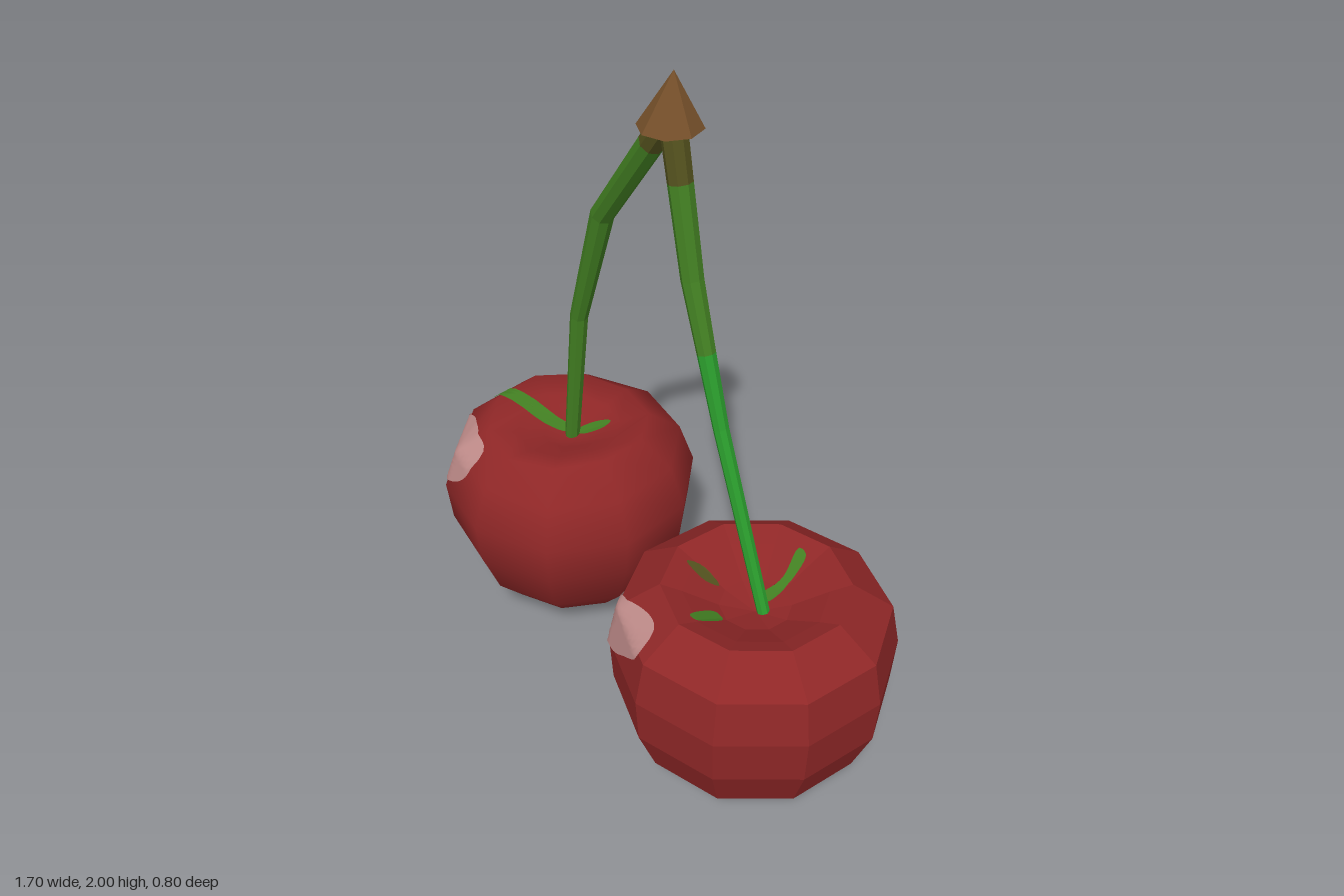
import * as THREE from 'three';
import { mergeVertices } from 'three/addons/utils/BufferGeometryUtils.js';

const mat = (name, color, side = THREE.FrontSide) => {
  const m = new THREE.MeshStandardMaterial({ color, side });
  m.name = name;
  return m;
};

// Split faces so that each facet is flat
function faceted(geometry) {
  const g = geometry.toNonIndexed();
  g.computeVertexNormals();
  return g;
}

export function createModel() {
  const red = mat('cherry red', 0x8f2727);
  const pink = mat('highlight pink', 0xc08c8a, THREE.DoubleSide);
  const olive = mat('stem green', 0x427f22, THREE.DoubleSide);
  const bright = mat('fresh green', 0x2a9a2c, THREE.DoubleSide);
  const bark = mat('stem olive brown', 0x54521e, THREE.DoubleSide);
  const brown = mat('cap brown', 0x76502a);

  const model = new THREE.Group();
  model.name = 'cherryPair';
  const add = (name, geometry, material) => {
    const mesh = new THREE.Mesh(geometry, material);
    mesh.name = name;
    model.add(mesh);
    return mesh;
  };

  // Ten-sided fruit with a dimpled top; saddle lowers the rim front and back
  function fruit(profile, turn, saddle, x) {
    let g = new THREE.LatheGeometry(profile.map(p => new THREE.Vector2(...p)), 10, turn);
    const pos = g.attributes.position;
    for (let i = 0; i < pos.count; i++) {
      const r = Math.hypot(pos.getX(i), pos.getZ(i));
      if (pos.getY(i) > 0.63 && r > 0.05) {
        pos.setY(i, pos.getY(i) - saddle * (pos.getZ(i) / r) ** 2);
      }
    }
    g.deleteAttribute('normal');
    g.deleteAttribute('uv');
    g = mergeVertices(g);
    g.computeVertexNormals();
    return g.translate(x, 0, 0);
  }

  const smoothCherry = add('smoothCherry', fruit([
    [0, 0.005], [0.13, 0.025], [0.23, 0.09], [0.32, 0.19], [0.38, 0.34], [0.395, 0.47],
    [0.35, 0.6], [0.25, 0.685], [0.16, 0.665], [0.08, 0.625], [0, 0.605],
  ], 0.18, 0.025, -0.457), red);

  const facetedCherry = add('facetedCherry', faceted(fruit([
    [0, 0.005], [0.135, 0.025], [0.25, 0.095], [0.335, 0.19], [0.39, 0.33], [0.4, 0.47],
    [0.375, 0.6], [0.26, 0.68], [0.2, 0.655], [0.1, 0.605], [0, 0.58],
  ], 0, 0, 0.467)), red);

  // Thin painted patch: an outline projected onto a fruit, from the front or from above
  const ray = new THREE.Raycaster();
  function patch(name, target, outline, fromAbove, material) {
    const curve = new THREE.CatmullRomCurve3(
      outline.map(([a, b]) => new THREE.Vector3(a, b, 0)), true);
    const n = 40, rings = 8, verts = [], index = [];
    const rim = curve.getSpacedPoints(n).slice(0, n);
    const mid = rim.reduce((s, p) => s.add(p), new THREE.Vector3()).divideScalar(n);
    const dir = fromAbove ? new THREE.Vector3(0, -1, 0) : new THREE.Vector3(0, 0, -1);
    for (let k = 0; k <= rings; k++) {
      for (let i = 0; i < n; i++) {
        const p = mid.clone().lerp(rim[i], k / rings);
        ray.set(fromAbove ? new THREE.Vector3(p.x, 3, p.y) : new THREE.Vector3(p.x, p.y, 3), dir);
        const hit = ray.intersectObject(target)[0];
        if (!hit) throw new Error(`${name} misses its fruit`);
        hit.point.addScaledVector(hit.face.normal, 0.006);
        verts.push(...hit.point.toArray());
        if (k < rings) {
          const a = k * n + i, b = k * n + (i + 1) % n;
          index.push(a, b, a + n, b, b + n, a + n);
        }
      }
    }
    const g = new THREE.BufferGeometry();
    g.setAttribute('position', new THREE.Float32BufferAttribute(verts, 3));
    g.setIndex(index);
    g.computeVertexNormals();
    add(name, g, material);
  }

  // Glossy highlights
  patch('smoothCherryHighlight', smoothCherry, [
    [-0.795, 0.53], [-0.78, 0.57], [-0.7, 0.62], [-0.6, 0.645], [-0.505, 0.635],
    [-0.5, 0.59], [-0.55, 0.53], [-0.65, 0.485], [-0.75, 0.48],
  ], false, pink);
  patch('facetedCherryHighlight', facetedCherry, [
    [0.17, 0.53], [0.21, 0.59], [0.3, 0.63], [0.42, 0.64],
    [0.43, 0.59], [0.36, 0.53], [0.27, 0.475], [0.185, 0.48],
  ], false, pink);

  // Green streaks around the dimples
  patch('longStreak', smoothCherry, [
    [-0.71, 0.12], [-0.69, 0.065], [-0.6, 0.02], [-0.47, -0.03],
    [-0.48, 0.005], [-0.56, 0.06], [-0.64, 0.09],
  ], true, olive);
  patch('shortStreak', smoothCherry, [
    [-0.46, -0.03], [-0.44, -0.1], [-0.41, -0.125], [-0.4, -0.09], [-0.43, -0.03],
  ], true, olive);
  patch('backStreak', facetedCherry, [
    [0.41, -0.2], [0.44, -0.2], [0.465, -0.13], [0.47, -0.04], [0.44, -0.04], [0.44, -0.12],
  ], true, olive);
  patch('frontStreak', facetedCherry, [
    [0.44, 0.12], [0.475, 0.12], [0.47, 0.2], [0.445, 0.21],
  ], true, olive);
  patch('sideStreak', facetedCherry, [
    [0.27, 0.09], [0.3, 0.05], [0.36, 0.045], [0.34, 0.075], [0.3, 0.09],
  ], true, bark);

  // Tapered eight-sided stem through [x, y, radius] points listed from top to bottom;
  // each section is [first point, last point, material]
  function stem(name, points, sections) {
    const sides = 8, z0 = -0.015;
    const pts = points.map(([x, y]) => new THREE.Vector2(x, y));
    const last = pts.length - 1;
    for (const [from, to, material] of sections) {
      const g = new THREE.CylinderGeometry(1, 1, 1, sides, to - from, true);
      const pos = g.attributes.position;
      for (let i = 0; i < pos.count; i++) {
        const k = from + Math.floor(i / (sides + 1));
        const up = pts[Math.max(k - 1, 0)].clone().sub(pts[k]).normalize()
          .add(pts[k].clone().sub(pts[Math.min(k + 1, last)]).normalize()).normalize();
        const r = points[k][2], s = pos.getX(i) * r;
        pos.setXYZ(i, pts[k].x + up.y * s, pts[k].y - up.x * s, z0 + pos.getZ(i) * r);
      }
      add(name, faceted(g), material);
    }
  }
  stem('smoothCherryStem', [
    [0.04, 1.88, 0.036], [-0.035, 1.78, 0.036], [-0.265, 1.475, 0.034],
    [-0.4, 1.08, 0.027], [-0.465, 0.59, 0.023],
  ], [[0, 1, bark], [1, 4, olive]]);
  stem('facetedCherryStem', [
    [0.05, 1.88, 0.036], [0.085, 1.72, 0.034], [0.14, 1.47, 0.031],
    [0.205, 1.28, 0.026], [0.275, 1.08, 0.022], [0.49, 0.57, 0.018],
  ], [[0, 1, bark], [1, 3, olive], [3, 5, bright]]);

  // Pointed cap joining the stems, tip slightly off centre
  const cap = new THREE.ConeGeometry(0.086, 0.15, 8);
  const capPos = cap.attributes.position;
  for (let i = 0; i < capPos.count; i++) {
    if (capPos.getY(i) > 0) capPos.setX(i, capPos.getX(i) + 0.012);
  }
  add('stemCap', faceted(cap.translate(0.036, 1.925, -0.02)), brown);

  return model;
}
